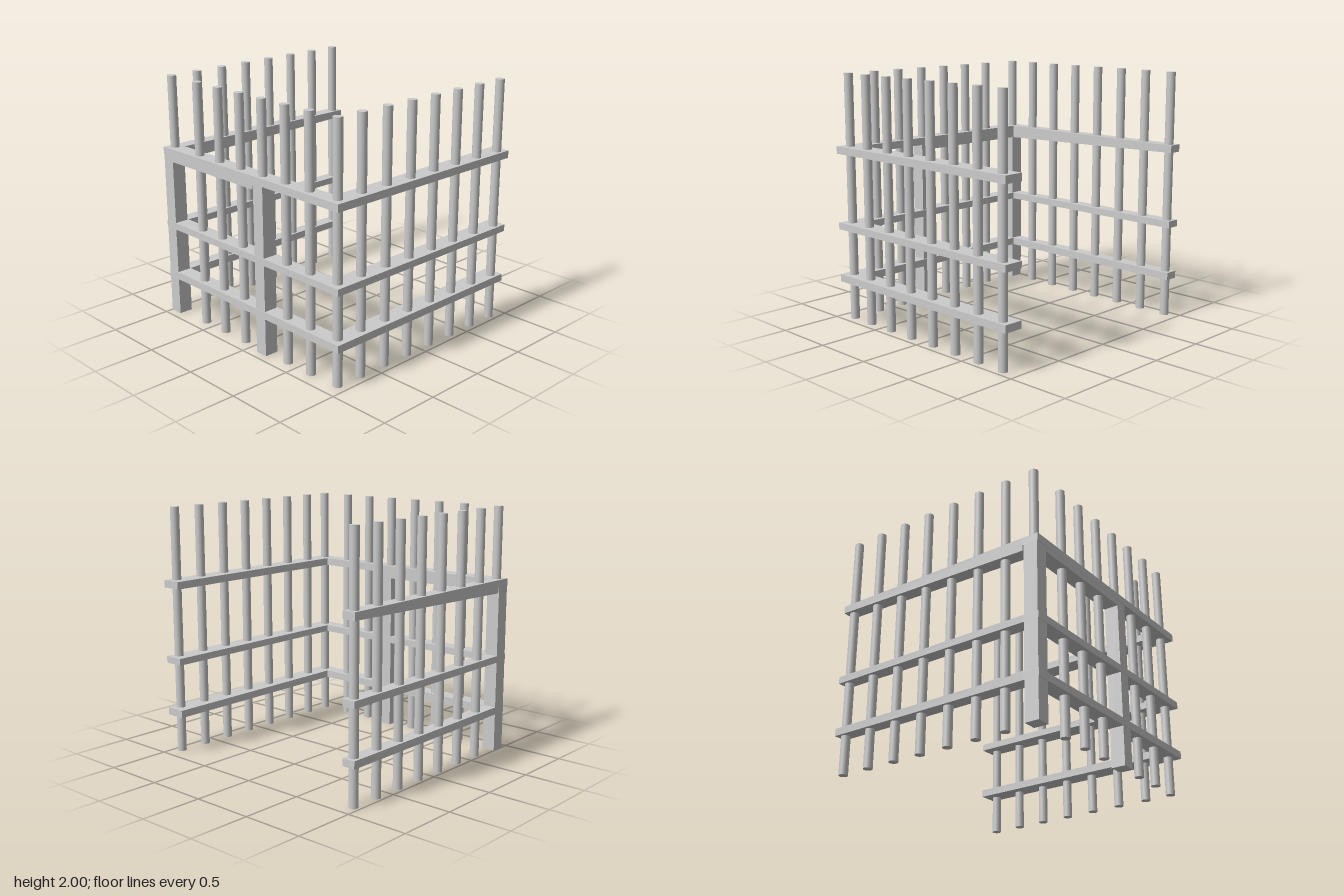
import * as THREE from 'three';

export function createModel() {
  const model = new THREE.Group();
  model.name = 'barredEnclosure';
  const material = new THREE.MeshStandardMaterial({ color: 0xcccccc });

  function box(name, x0, x1, y0, y1, z0, z1) {
    const geometry = new THREE.BoxGeometry(x1 - x0, y1 - y0, z1 - z0);
    geometry.translate((x0 + x1) / 2, (y0 + y1) / 2, (z0 + z1) / 2);
    const mesh = new THREE.Mesh(geometry, material);
    mesh.name = name;
    model.add(mesh);
    return mesh;
  }

  function bar(name, x, z, bottom = 0) {
    const geometry = new THREE.CylinderGeometry(0.036, 0.036, 2 - bottom, 24);
    const mesh = new THREE.Mesh(geometry, material);
    mesh.name = name;
    mesh.position.set(x, (2 + bottom) / 2, z);
    model.add(mesh);
  }

  // Three horizontal rails around the front and both sides
  const levels = [[0.31, 0.37], [0.745, 0.8], [1.36, 1.42]];
  levels.forEach(([y0, y1], i) => {
    box('frontRail', -1, 0.99, y0, y1, 0.81, 0.94);
    box('leftRail', 0.83, 0.99, y0, y1, -0.94, 0.81);
    const rail = box('rightRail', -1, -0.89, y0, y1, -0.94, 0.81);
    if (i === 2) {
      // The top right rail deepens toward the door lintel
      const p = rail.geometry.attributes.position;
      for (let k = 0; k < p.count; k++) {
        if (p.getY(k) < 1.4 && p.getZ(k) > 0) p.setY(k, 1.315);
      }
      rail.geometry.computeVertexNormals();
    }
  });

  // Door frame: two posts and a lintel under the top rail
  box('doorPost', -1, -0.89, 0, 1.415, 0.82, 0.935);
  box('doorPost', 0.095, 0.2, 0, 1.415, 0.82, 0.935);
  box('doorLintel', -0.89, 0.095, 1.315, 1.365, 0.815, 0.938);

  // Front bars; those standing on a post start at its top
  bar('cornerBar', -0.94, 0.87, 1.4);
  for (let i = 0; i < 6; i++) {
    bar('frontBar', -0.605 + i * 0.25, 0.88, i === 3 ? 1.4 : 0);
  }
  bar('cornerBar', 0.91, 0.865);

  // Side bars, the left row drifting slightly outward to the back
  for (let i = 0; i < 7; i++) {
    bar('rightBar', -0.943, 0.62 - i * 0.25);
    bar('leftBar', 0.918 + i * 0.0027, 0.64 - i * 0.25);
  }

  return model;
}
